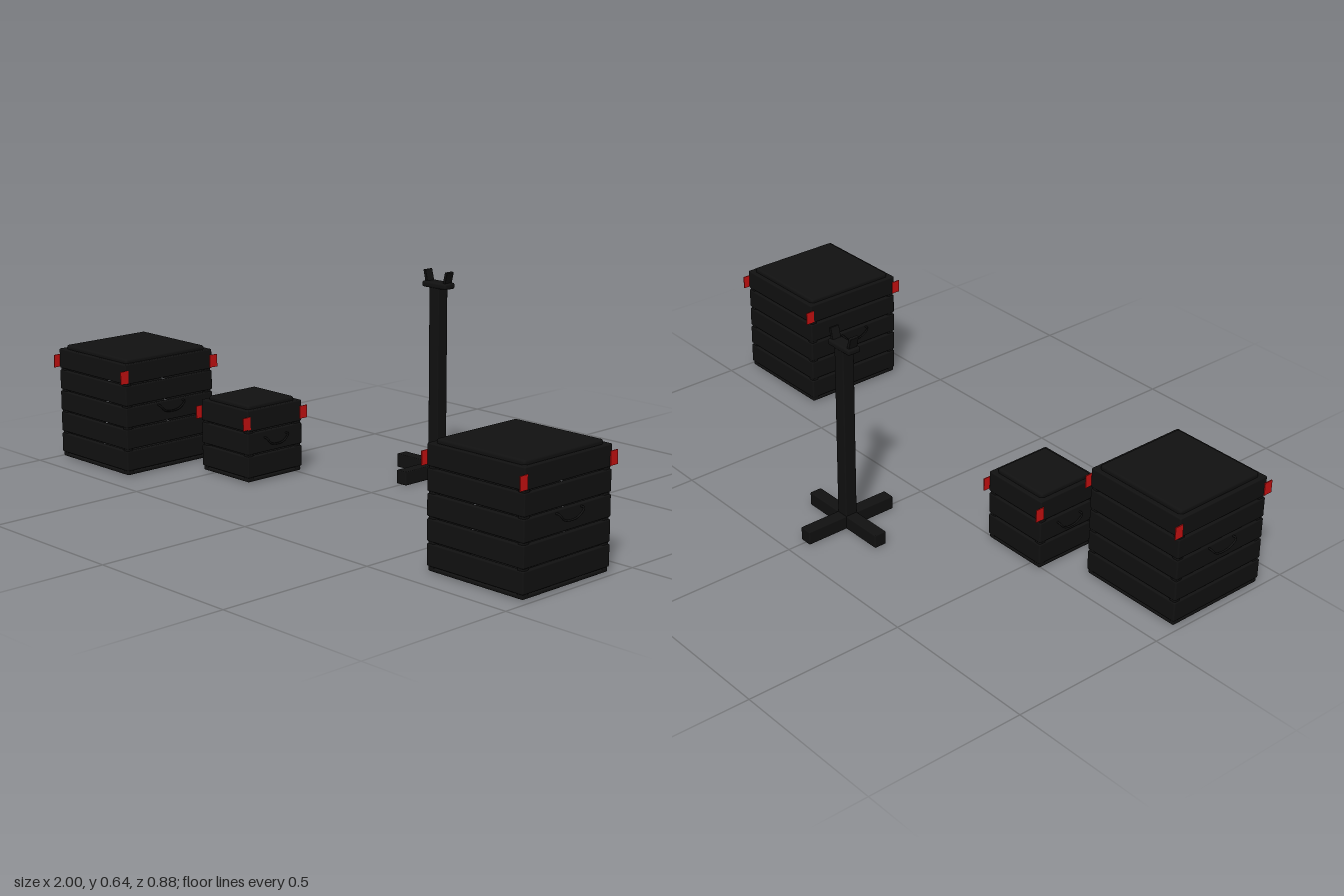
import * as THREE from 'three';
import { RoundedBoxGeometry } from 'three/addons/geometries/RoundedBoxGeometry.js';

const black = new THREE.MeshStandardMaterial({ color: 0x111111 });
const red = new THREE.MeshStandardMaterial({ color: 0xcc1111 });

function add(parent, name, geometry, x, y, z, material = black) {
  const mesh = new THREE.Mesh(geometry, material);
  mesh.name = name;
  mesh.position.set(x, y, z);
  parent.add(mesh);
  return mesh;
}

const rounded = (w, h, d, r = 0.004) => new RoundedBoxGeometry(w, h, d, 2, r);

// Slatted crate: floor, corner posts, rows of slats, lid, handles and corner tags
function createCrate(name, half, rows, pitch, handleY, handleHalf) {
  const crate = new THREE.Group();
  crate.name = name;
  const bottom = 0.019, gap = 0.006, t = 0.016;
  const top = bottom + rows * pitch - gap;
  const size = half * 2;

  add(crate, 'floor', rounded(size - 0.006, 0.011, size - 0.006), 0, 0.0105, 0);

  for (const sx of [-1, 1]) for (const sz of [-1, 1]) {
    const c = half - 0.014;
    add(crate, 'cornerPost', rounded(0.022, top - 0.008, 0.022), sx * c, (top + 0.008) / 2, sz * c);
    add(crate, 'cornerTag', new THREE.BoxGeometry(0.003, 0.04, 0.029),
      sx * (half + 0.001), top - 0.039, sz * (half + 0.005), red);
  }

  for (let i = 0; i < rows; i++) {
    const h = pitch - gap;
    const y = bottom + i * pitch + h / 2;
    for (const s of [-1, 1]) {
      add(crate, 'frontBackSlat', rounded(size, h, t), 0, y, s * (half - t / 2));
      add(crate, 'sideSlat', rounded(t, h, size), s * (half - t / 2), y, 0);
    }
  }

  // Lid fills the top row and rises a little above it
  const lidHeight = 0.065;
  add(crate, 'lid', rounded(size - 0.032, lidHeight, size - 0.032, 0.008), 0, top + 0.012 - lidHeight / 2, 0);

  // Drooping handles, with ends turned into the walls
  for (const s of [-1, 1]) {
    const out = half + 0.011;
    const path = new THREE.CatmullRomCurve3([
      [half - 0.004, 0.013, -handleHalf], [out, 0.011, -handleHalf],
      [out, -0.007, -handleHalf * 0.6], [out, -0.012, 0], [out, -0.007, handleHalf * 0.6],
      [out, 0.011, handleHalf], [half - 0.004, 0.013, handleHalf],
    ].map(([x, y, z]) => new THREE.Vector3(s * x, y, z)));
    add(crate, 'handle', new THREE.TubeGeometry(path, 32, 0.003, 8), 0, handleY, 0);
  }
  return crate;
}

// Post on a cross-shaped foot with a two-pronged rest on top
function createStand() {
  const stand = new THREE.Group();
  stand.name = 'stand';
  add(stand, 'footBarX', rounded(0.312, 0.043, 0.04, 0.003), 0, 0.0225, 0);
  add(stand, 'footBarZ', rounded(0.04, 0.043, 0.312, 0.003), 0, 0.0225, 0);
  add(stand, 'post', rounded(0.04, 0.565, 0.04, 0.003), 0, 0.318, 0);
  add(stand, 'restPlate', rounded(0.1, 0.019, 0.045, 0.007), 0, 0.6, 0);
  for (const s of [-1, 1]) {
    const prong = add(stand, 'prong', rounded(0.01, 0.046, 0.03, 0.002), s * 0.04, 0.621, 0);
    prong.rotation.z = -s * 0.25;
  }
  return stand;
}

export function createModel() {
  const model = new THREE.Group();
  model.name = 'cratesAndStand';

  for (const s of [-1, 1]) {
    const crate = createCrate(s > 0 ? 'leftLargeCrate' : 'rightLargeCrate', 0.171, 5, 0.0685, 0.198, 0.048);
    crate.position.set(s * 0.815, 0, 0.25);
    model.add(crate);
  }

  const small = createCrate('smallCrate', 0.11, 3, 0.0725, 0.125, 0.043);
  small.position.set(-0.434, 0, 0.097);
  model.add(small);

  const stand = createStand();
  stand.position.set(0, 0, -0.283);
  model.add(stand);

  return model;
}
